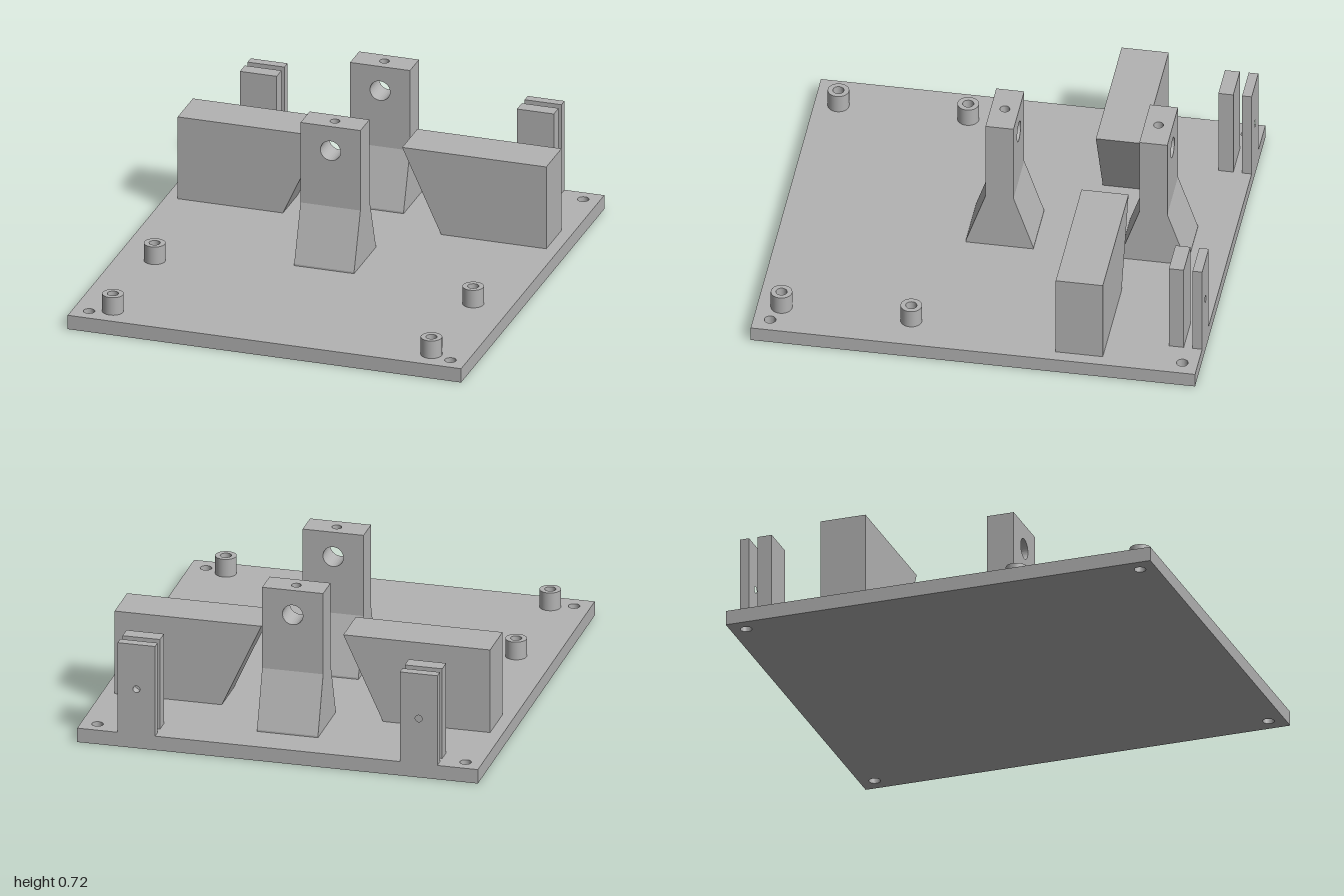
import * as THREE from 'three';

const grey = new THREE.MeshStandardMaterial({ color: 0xb3b3b3 });
grey.name = 'plain grey';

const BASE_TOP = 0.067;

function part(name, geometry, parent) {
  const mesh = new THREE.Mesh(geometry, grey);
  mesh.name = name;
  parent.add(mesh);
  return mesh;
}

// Polygon shape with round holes given as [x, y, radius]
function outline(points, holes = []) {
  const shape = new THREE.Shape(points.map(([x, y]) => new THREE.Vector2(x, y)));
  for (const [x, y, r] of holes) {
    const path = new THREE.Path();
    path.absarc(x, y, r, 0, Math.PI * 2, true);
    shape.holes.push(path);
  }
  return shape;
}

const rect = (x0, y0, x1, y1) => [[x0, y0], [x1, y0], [x1, y1], [x0, y1]];

function extrude(shape, depth) {
  return new THREE.ExtrudeGeometry(shape, { depth, bevelEnabled: false, curveSegments: 16 });
}

// Profile in x and y, running from z0 to z1
const alongZ = (shape, z0, z1) => extrude(shape, z1 - z0).translate(0, 0, z0);

// Plan in x and -z, rising from y0 to y1
const upward = (shape, y0, y1) => extrude(shape, y1 - y0).rotateX(-Math.PI / 2).translate(0, y0, 0);

// Flared post with a cross bore and a screw hole in its top
function makePost(name, z) {
  const post = new THREE.Group();
  post.name = name;
  const w = 0.14, foot = 0.152, half = 0.063, knee = 0.336, split = 0.655, top = 0.724;
  const flare = outline([[-foot, BASE_TOP], [foot, BASE_TOP], [foot, 0.075], [half, knee], [-half, knee], [-foot, 0.075]]);
  part('postFoot', extrude(flare, w * 2).translate(0, 0, -w).rotateY(Math.PI / 2), post);
  part('postNeck', alongZ(outline(rect(-w, knee, w, split), [[0, 0.606, 0.047]]), -half, half), post);
  part('postCap', upward(outline(rect(-w, -half, w, half), [[0, 0, 0.022]]), split, top), post);
  post.position.z = z;
  return post;
}

export function createModel() {
  const model = new THREE.Group();
  model.name = 'mountingPlate';

  // Base plate with four corner holes
  const corners = [];
  for (const x of [-0.845, 0.845]) for (const y of [-0.925, 0.93]) corners.push([x, y, 0.026]);
  part('basePlate', upward(outline(rect(-0.92, -1, 0.92, 1), corners), 0, BASE_TOP), model);

  // Central posts
  model.add(makePost('frontPost', 0.014), makePost('rearPost', -0.678));

  for (const side of [1, -1]) {
    const label = side > 0 ? 'left' : 'right';

    // Block with a slanted inner end
    const block = [[0.37, BASE_TOP], [0.862, BASE_TOP], [0.862, 0.464], [0.188, 0.464]];
    part(label + 'SlantedBlock', alongZ(outline(block.map(([x, y]) => [x * side, y])), -0.575, -0.363), model);

    // Pair of upright rear plates, the outer one drilled
    const plate = rect(0.562 * side, BASE_TOP, 0.734 * side, 0.498);
    part(label + 'InnerTab', alongZ(outline(plate), -0.917, -0.85), model);
    part(label + 'OuterTab', alongZ(outline(plate, [[0.648 * side, 0.283, 0.016]]), -1, -0.957), model);

    // Hollow standoffs
    for (const z of [0.307, 0.891]) {
      const profile = [[0.025, BASE_TOP], [0.048, BASE_TOP], [0.048, BASE_TOP], [0.048, 0.152],
        [0.048, 0.152], [0.025, 0.152], [0.025, 0.152], [0.025, BASE_TOP]];
      for (let i = 0; i < profile.length; i += 2) {
        const wall = [profile[i], profile[i + 1]].map(([x, y]) => new THREE.Vector2(x, y));
        part(label + 'Standoff', new THREE.LatheGeometry(wall, 32), model).position.set(0.745 * side, 0, z);
      }
    }
  }
  return model;
}
